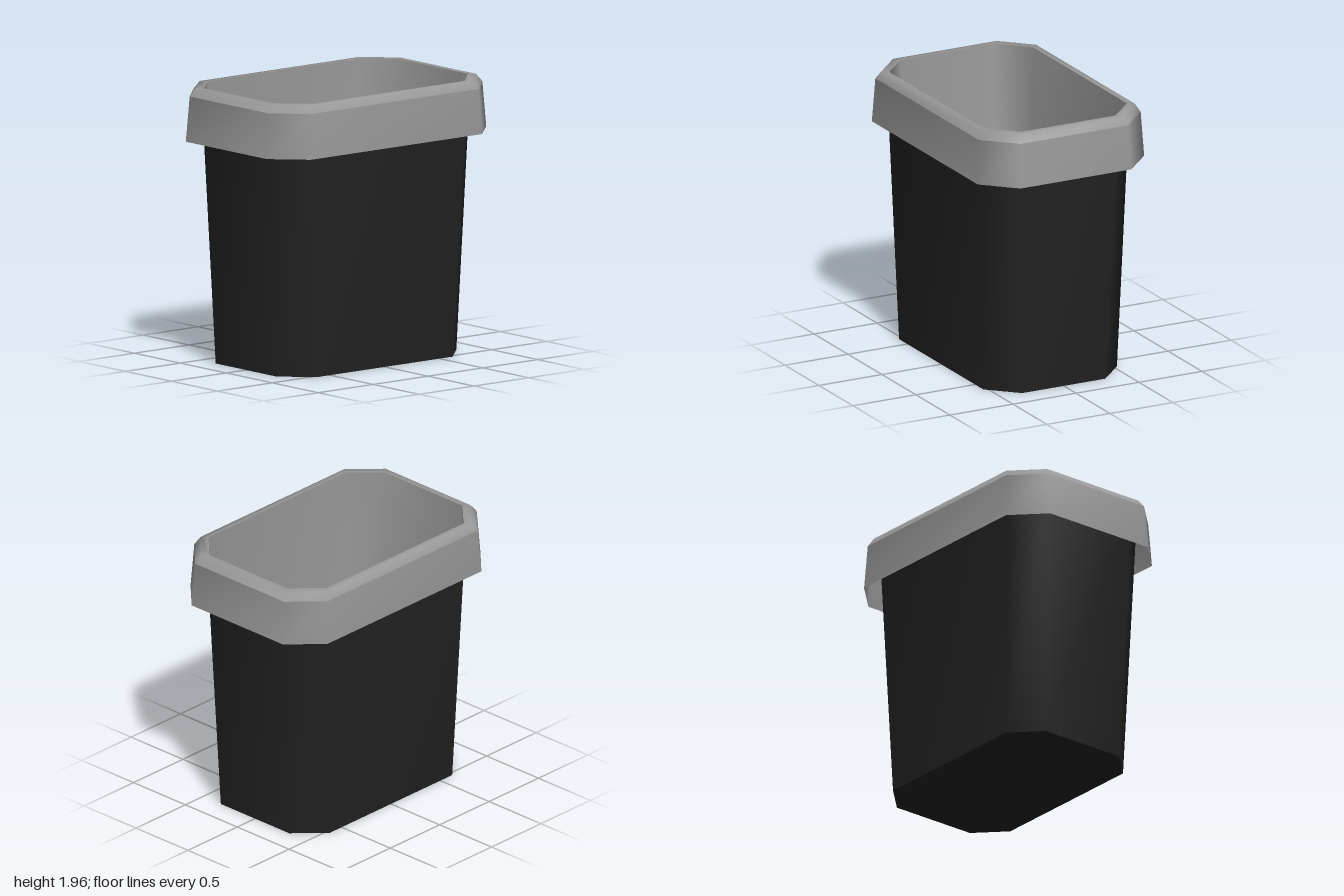
import * as THREE from 'three';

// Rectangle ring with cut corners: half width, half depth, corner cut, height
function ringPoints([hx, hz, c, y]) {
  const x = hx - c, z = hz - c;
  return [[hx, z], [x, hz], [-x, hz], [-hx, z], [-hx, -z], [-x, -hz], [x, -hz], [hx, -z]]
    .flatMap(([px, pz]) => [px, y, pz]);
}

function build(name, positions, indices, material) {
  const geometry = new THREE.BufferGeometry();
  geometry.setAttribute('position', new THREE.Float32BufferAttribute(positions, 3));
  geometry.setIndex(indices);
  geometry.computeVertexNormals();
  const mesh = new THREE.Mesh(geometry, material);
  mesh.name = name;
  return mesh;
}

// Smooth skin through a list of rings; rising rings face outward
function loft(name, rings, material) {
  const indices = [];
  for (let i = 0; i < rings.length - 1; i++) {
    for (let j = 0; j < 8; j++) {
      const k = (j + 1) % 8;
      const a = i * 8 + j, b = i * 8 + k, d = a + 8, e = b + 8;
      indices.push(a, d, b, b, d, e);
    }
  }
  return build(name, rings.flatMap(ringPoints), indices, material);
}

// Flat panel filling one ring
function panel(name, ring, facesUp, material) {
  const indices = [];
  for (let j = 1; j < 7; j++) indices.push(0, ...(facesUp ? [j + 1, j] : [j, j + 1]));
  return build(name, ringPoints(ring), indices, material);
}

export function createModel() {
  const black = new THREE.MeshStandardMaterial({ color: 0x222222 });
  black.name = 'black plastic';
  const grey = new THREE.MeshStandardMaterial({ color: 0x999999, side: THREE.DoubleSide });
  grey.name = 'grey plastic';

  // Cross-sections, from the base to the rim and back down inside
  const base = [0.53, 0.82, 0.2, 0];
  const bodyTop = [0.583, 0.903, 0.2, 1.9];
  const lipBottom = [0.66, 1.0, 0.22, 1.58];
  const lipTop = [0.643, 0.975, 0.215, 1.9];
  const rimOuter = [0.615, 0.932, 0.205, 1.955];
  const rimInner = [0.57, 0.888, 0.195, 1.955];
  const floor = [0.505, 0.767, 0.163, 0.06];

  const bin = new THREE.Group();
  bin.name = 'bin';
  bin.add(
    loft('body', [base, bodyTop], black),
    panel('underside', base, false, black),
    loft('lip', [lipBottom, lipTop], grey), // hollow skirt around the body
    loft('rim', [lipTop, rimOuter, rimInner], grey),
    loft('innerWall', [rimInner, floor], grey),
    panel('innerFloor', floor, true, grey),
  );
  return bin;
}
